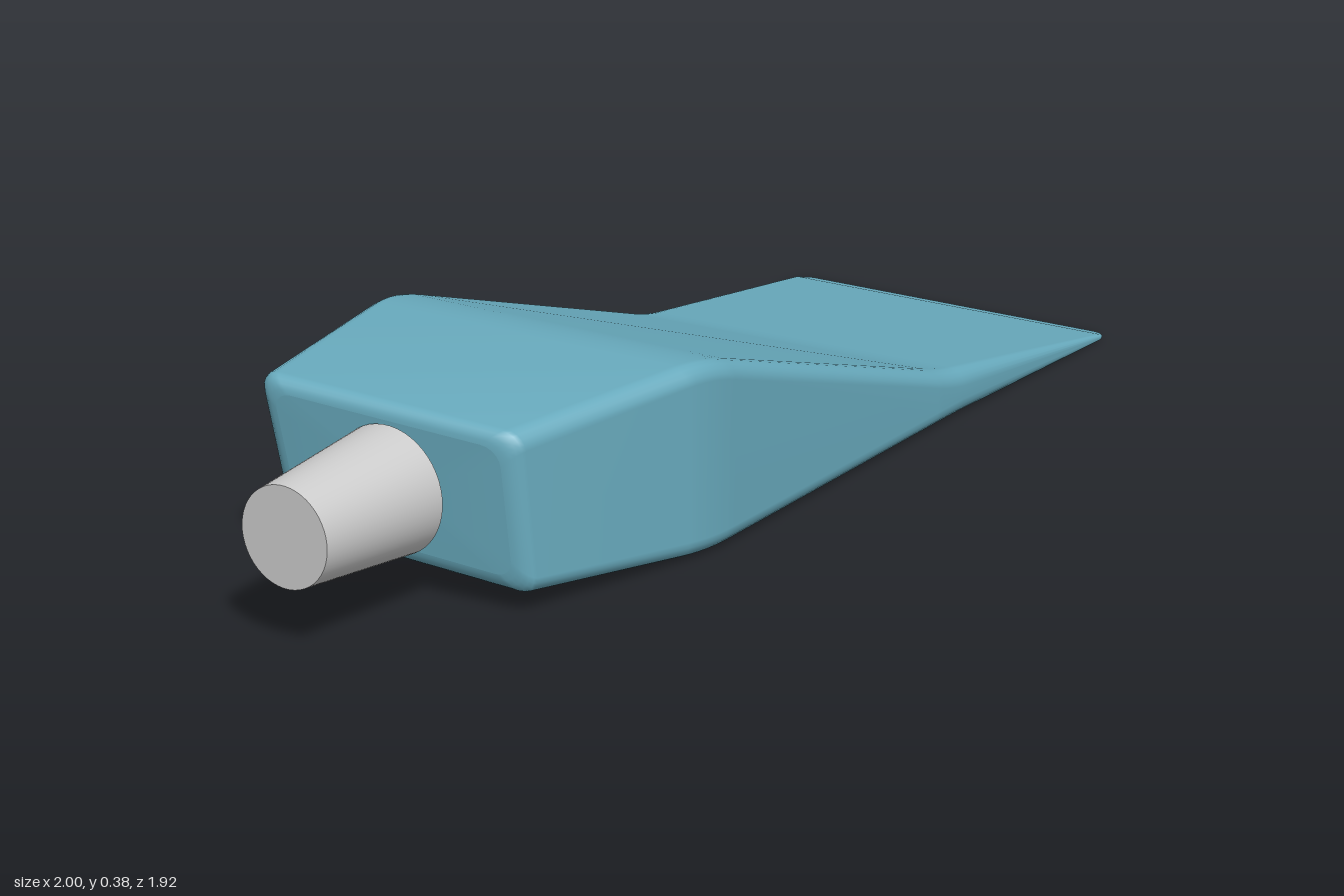
import * as THREE from 'three';

// Stations from thin tip to neck; corners: left bottom, right bottom, right top, left top
const STATIONS = [
  [[0.49, 0, -0.975], [1.012, 0, -0.42], [1.012, 0.01, -0.42], [0.49, 0.01, -0.975]],
  [[0, 0, -0.51], [0.53, 0, 0.02], [0.53, 0.105, 0.02], [0, 0.105, -0.51]],
  [[-0.61, 0, 0.06], [-0.11, 0, 0.62], [-0.11, 0.378, 0.62], [-0.62, 0.378, 0.06]],
  [[-0.875, 0.08, 0.51], [-0.5, 0.038, 0.84], [-0.525, 0.34, 0.84], [-0.93, 0.388, 0.52]],
].map((s) => s.map((p) => new THREE.Vector3(...p)));

const mix = (a, b, t) => a.map((p, i) => p.clone().lerp(b[i], t));

// Rounded cross-section inside four corners, shrunk by an inset
function ring([lb, rb, rt, lt], inset) {
  const w = lb.distanceTo(rb);
  const h = lb.distanceTo(lt);
  const iu = inset / w;
  const iv = Math.min(inset / h, 0.2);
  const r = Math.min(0.035, h * 0.45);
  const ru = Math.min(r / w, 0.5 - iu);
  const rv = Math.min(r / h, 0.5 - iv);
  const pts = [];
  const steps = 5;
  [[1, 0], [1, 1], [0, 1], [0, 0]].forEach(([cu, cv], k) => {
    const u0 = cu ? 1 - iu - ru : iu + ru;
    const v0 = cv ? 1 - iv - rv : iv + rv;
    for (let i = 0; i <= steps; i++) {
      const a = (k - 1 + i / steps) * Math.PI / 2;
      const u = u0 + ru * Math.cos(a);
      const v = v0 + rv * Math.sin(a);
      pts.push(lb.clone().lerp(rb, u).lerp(lt.clone().lerp(rt, u), v));
    }
  });
  return pts;
}

// Rounded end: rings shrinking towards the end station
function endRings(end, inner, r) {
  const len = end[0].distanceTo(inner[0]);
  const rings = [];
  for (let i = 0; i <= 5; i++) {
    const a = i / 5 * Math.PI / 2;
    rings.push(ring(mix(end, inner, r * (1 - Math.cos(a)) / len), r * (1 - Math.sin(a))));
  }
  return rings;
}

// Softened bend: quadratic blend across a middle station
function bendRings(prev, mid, next, reach) {
  const a = mix(mid, prev, reach / mid[0].distanceTo(prev[0]));
  const b = mix(mid, next, reach / mid[0].distanceTo(next[0]));
  const rings = [];
  for (let i = 0; i <= 6; i++) {
    const t = i / 6;
    rings.push(ring(mix(mix(a, mid, t), mix(mid, b, t), t), 0));
  }
  return rings;
}

function bodyGeometry() {
  const [tip, knee, shoulder, neck] = STATIONS;
  const rings = [
    ...endRings(tip, knee, 0.03),
    ...bendRings(tip, knee, shoulder, 0.05),
    ...bendRings(knee, shoulder, neck, 0.07),
    ...endRings(neck, shoulder, 0.03).reverse(),
  ];
  const n = rings[0].length;
  const pts = rings.flat();
  const index = [];
  for (let i = 0; i < rings.length - 1; i++) {
    for (let j = 0; j < n; j++) {
      const a = i * n + j;
      const b = i * n + (j + 1) % n;
      index.push(a, b, b + n, a, b + n, a + n);
    }
  }
  // Flat end caps with their own vertices
  const cap = (points, flip) => {
    const c = pts.length;
    const centre = new THREE.Vector3();
    points.forEach((p) => centre.addScaledVector(p, 1 / n));
    pts.push(centre, ...points);
    for (let j = 0; j < n; j++) {
      const p = c + 1 + j;
      const q = c + 1 + (j + 1) % n;
      index.push(c, flip ? q : p, flip ? p : q);
    }
  };
  cap(rings[0], true);
  cap(rings[rings.length - 1], false);
  const g = new THREE.BufferGeometry().setFromPoints(pts);
  g.setIndex(index);
  g.computeVertexNormals();
  return g;
}

export function createModel() {
  const group = new THREE.Group();
  group.name = 'wedgeHead';

  const body = new THREE.Mesh(bodyGeometry(), new THREE.MeshStandardMaterial({ color: 0x68aabd }));
  body.name = 'body';
  group.add(body);

  // Tapered stub leaving the neck
  const outer = new THREE.Vector3(-0.935, 0.208, 0.882);
  const inner = new THREE.Vector3(-0.722, 0.208, 0.692);
  const axis = inner.clone().sub(outer);
  const stub = new THREE.Mesh(
    new THREE.CylinderGeometry(0.122, 0.095, axis.length(), 48),
    new THREE.MeshStandardMaterial({ color: 0xcccccc }),
  );
  stub.name = 'connectorStub';
  stub.position.copy(outer).add(inner).multiplyScalar(0.5);
  stub.quaternion.setFromUnitVectors(new THREE.Vector3(0, 1, 0), axis.normalize());
  group.add(stub);

  return group;
}
